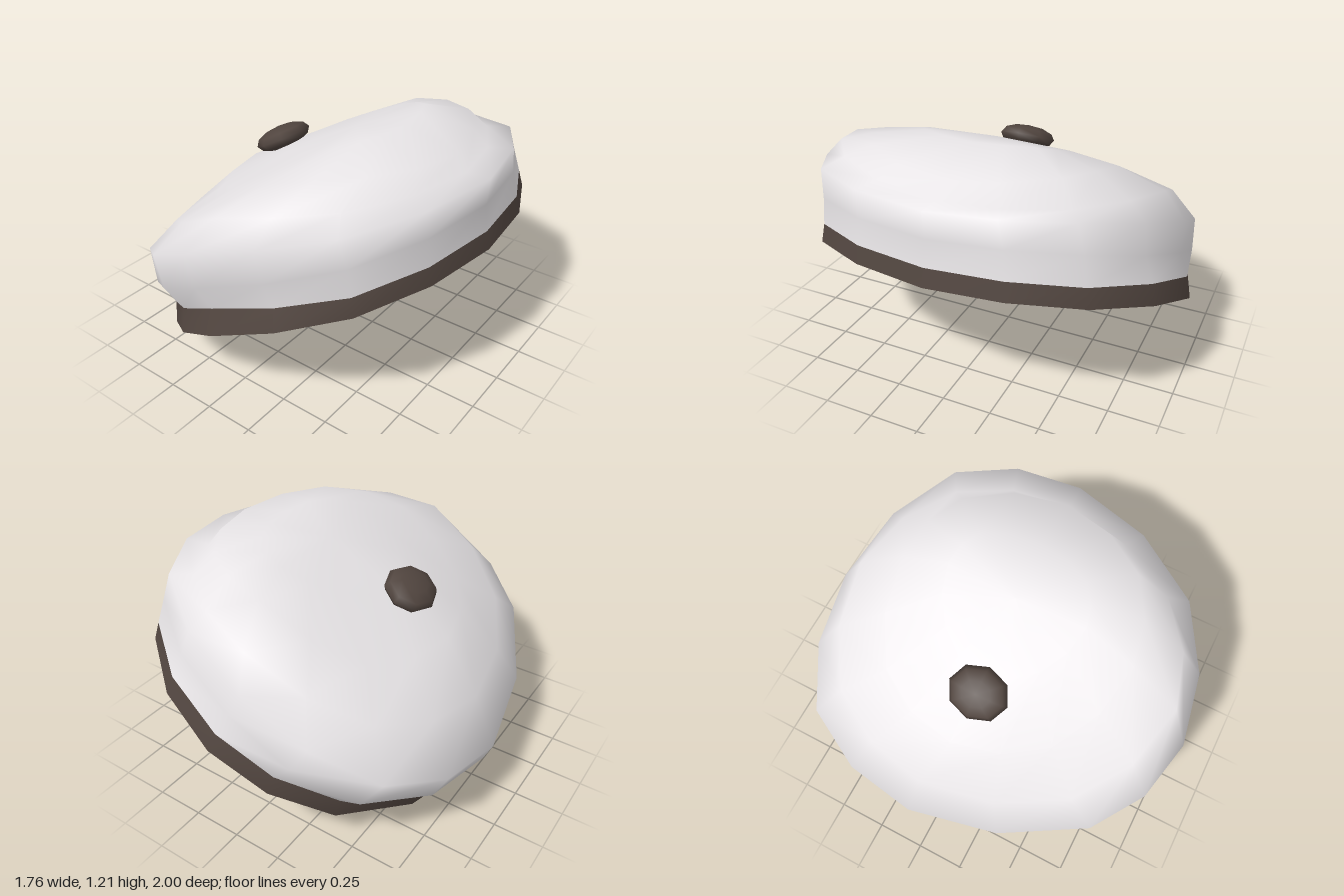
import * as THREE from 'three';

const SEGMENTS = 16;

// Each ring: eight points running -x, front, +x, back around the head opening.
const rim = [[-0.71, 0, 0.03], [-0.42, 0.18, 0.79], [0.02, 0.41, 0.965], [0.63, 0.64, 0.72],
  [0.88, 0.71, 0], [0.72, 0.7, -0.7], [0.12, 0.48, -1], [-0.42, 0.18, -0.77]];
const bandTop = [[-0.74, 0.1, 0.03], [-0.43, 0.29, 0.77], [0, 0.53, 0.925], [0.61, 0.73, 0.71],
  [0.86, 0.8, 0], [0.7, 0.79, -0.68], [0.09, 0.575, -0.97], [-0.44, 0.28, -0.76]];
const lowerBulge = [[-0.81, 0.16, -0.02], [-0.53, 0.38, 0.79], [-0.05, 0.64, 0.965], [0.59, 0.86, 0.71],
  [0.84, 0.93, 0], [0.67, 0.92, -0.65], [0.05, 0.67, -0.92], [-0.57, 0.36, -0.79]];
const bulge = [[-0.885, 0.34, -0.1], [-0.57, 0.56, 0.78], [-0.06, 0.83, 1], [0.56, 1, 0.73],
  [0.85, 1.065, 0], [0.65, 1.05, -0.61], [-0.02, 0.8, -0.91], [-0.67, 0.5, -0.76]];
const fold = [[-0.76, 0.58, -0.08], [-0.51, 0.68, 0.64], [0.03, 0.99, 0.89], [0.5, 1.06, 0.63],
  [0.73, 1.06, 0], [0.55, 1.05, -0.55], [0.02, 0.96, -0.81], [-0.55, 0.69, -0.64]];
const shoulder = [[-0.55, 0.79, 0], [-0.36, 0.84, 0.45], [0.1, 1.07, 0.63], [0.5, 1.15, 0.46],
  [0.69, 1.14, 0], [0.48, 1.15, -0.47], [0.1, 1.08, -0.6], [-0.38, 0.83, -0.45]];
const upper = [[-0.24, 0.96, 0], [-0.11, 1.02, 0.25], [0.15, 1.13, 0.36], [0.33, 1.195, 0.27],
  [0.4, 1.205, 0], [0.33, 1.2, -0.29], [0.15, 1.13, -0.37], [-0.11, 1.02, -0.25]];

// Joins closed rings from bottom to top, with an optional closing point.
function loft(rings, tip) {
  const positions = [];
  const index = [];
  for (const ring of rings) {
    const curve = new THREE.CatmullRomCurve3(ring.map((p) => new THREE.Vector3(...p)), true);
    for (let i = 0; i < SEGMENTS; i++) positions.push(...curve.getPoint(i / SEGMENTS).toArray());
  }
  for (let j = 0; j < rings.length - 1; j++) {
    for (let i = 0; i < SEGMENTS; i++) {
      const n = (i + 1) % SEGMENTS;
      const a = j * SEGMENTS + i;
      const b = j * SEGMENTS + n;
      index.push(a, b, b + SEGMENTS, a, b + SEGMENTS, a + SEGMENTS);
    }
  }
  if (tip) {
    const start = (rings.length - 1) * SEGMENTS;
    const top = positions.length / 3;
    positions.push(...tip);
    for (let i = 0; i < SEGMENTS; i++) index.push(start + i, start + (i + 1) % SEGMENTS, top);
  }
  const geometry = new THREE.BufferGeometry();
  geometry.setAttribute('position', new THREE.Float32BufferAttribute(positions, 3));
  geometry.setIndex(index);
  geometry.computeVertexNormals();
  return geometry;
}

export function createModel() {
  const cloth = new THREE.MeshStandardMaterial({ color: 0xe8e5e7, side: THREE.DoubleSide });
  cloth.name = 'light grey cloth';
  const leather = new THREE.MeshStandardMaterial({ color: 0x51453f, side: THREE.DoubleSide });
  leather.name = 'dark brown leather';

  const model = new THREE.Group();
  model.name = 'beret';
  const add = (name, geometry, material) => {
    const mesh = new THREE.Mesh(geometry, material);
    mesh.name = name;
    model.add(mesh);
    return mesh;
  };

  // Open head band and the puffed cloth crown above it
  add('headBand', loft([rim, bandTop]), leather);
  add('crown', loft([bandTop, lowerBulge, bulge, fold, shoulder, upper], [0.13, 1.135, 0]), cloth);

  // Flattened button on top, with its smaller back showing inside
  const button = add('button', new THREE.SphereGeometry(1, 8, 6), leather);
  button.scale.set(0.135, 0.06, 0.155);
  button.position.set(-0.315, 0.968, 0.035);
  button.rotation.z = 0.48;

  const back = add('buttonBack', new THREE.SphereGeometry(1, 8, 6), leather);
  back.scale.set(0.08, 0.03, 0.085);
  back.position.set(-0.293, 0.918, 0.03);
  back.rotation.z = 0.48;

  return model;
}
